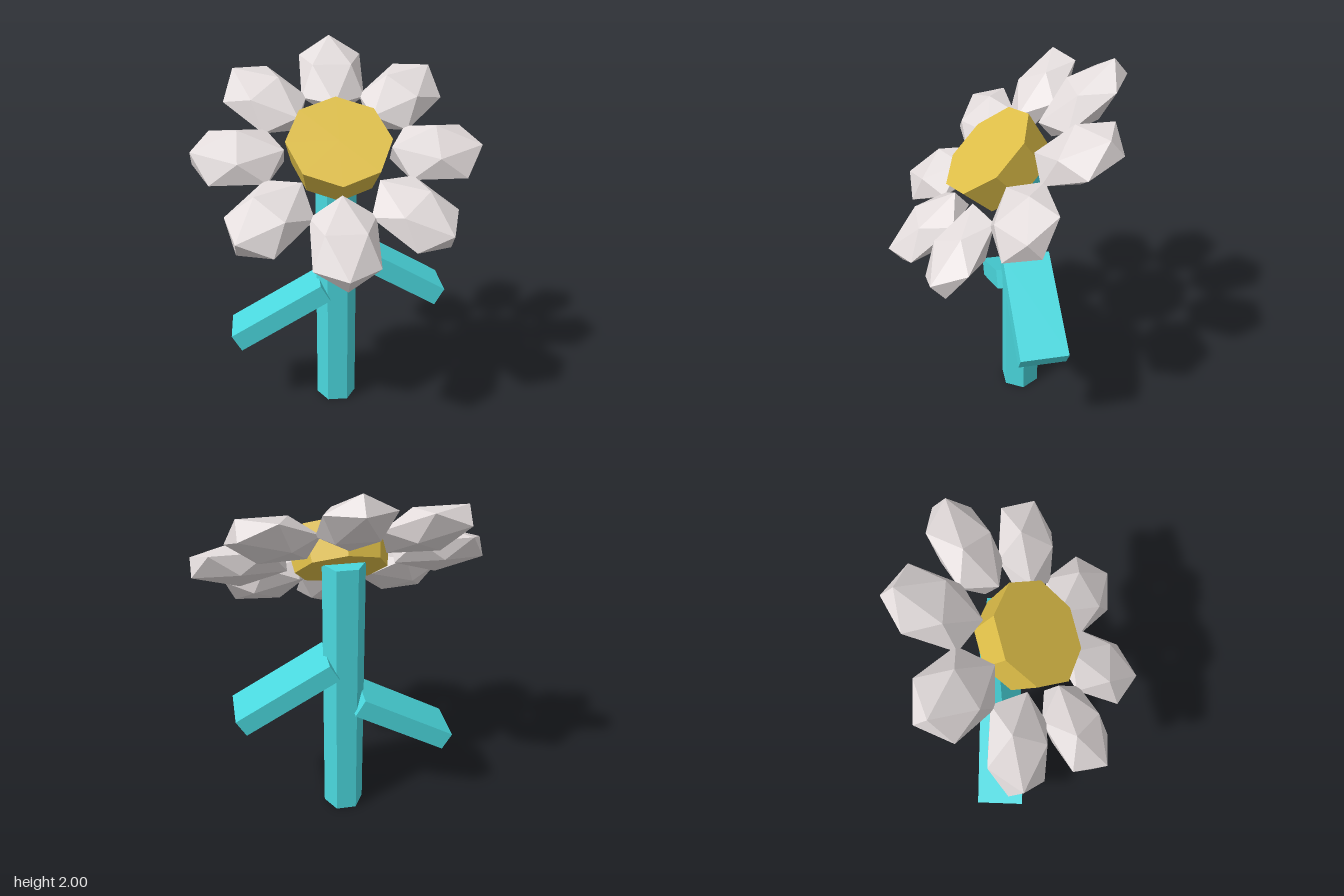
import * as THREE from 'three';

const flat = (name, color) => {
  const m = new THREE.MeshStandardMaterial({ color, flatShading: true });
  m.name = name;
  return m;
};

export function createModel() {
  const teal = flat('teal stem', 0x4ad8de);
  const gold = flat('gold centre', 0xdebe48);
  const white = flat('pale petal', 0xe2dbdb);

  const flower = new THREE.Group();
  flower.name = 'flower';
  const add = (parent, name, geometry, material) => {
    const mesh = new THREE.Mesh(geometry, material);
    mesh.name = name;
    parent.add(mesh);
    return mesh;
  };

  // Hexagonal stem, set slightly behind the head
  const stemZ = -0.105;
  const stem = add(flower, 'stem',
    new THREE.CylinderGeometry(0.11, 0.11, 1.5, 6, 1, false, Math.PI / 6), teal);
  stem.position.set(0, 0.75, stemZ);

  // Two drooping slab leaves at different heights
  for (const [name, side, y] of [['leftLeaf', 1, 0.8], ['rightLeaf', -1, 0.563]]) {
    const leaf = add(flower, name, new THREE.BoxGeometry(0.57, 0.105, 0.25), teal);
    leaf.position.set(side * 0.315, y, stemZ);
    leaf.rotation.z = -side * Math.PI / 6;
  }

  // Flower head, built facing up and then tilted forward
  const head = new THREE.Group();
  head.name = 'head';
  head.position.y = 1.485;
  head.rotation.x = THREE.MathUtils.degToRad(40);
  flower.add(head);

  // Tapered octagonal centre
  const centre = add(head, 'centre', new THREE.CylinderGeometry(0.268, 0.235, 0.19, 8), gold);
  centre.position.y = 0.029;

  // Eight faceted petals: stretched icosahedra around the centre
  const petalShape = new THREE.IcosahedronGeometry(1, 0);
  petalShape.scale(0.194, 0.101, 0.274).translate(0, 0, 0.505);
  for (let i = 0; i < 8; i++) {
    add(head, `petal${i + 1}`, petalShape, white).rotation.y = i * Math.PI / 4;
  }

  return flower;
}
